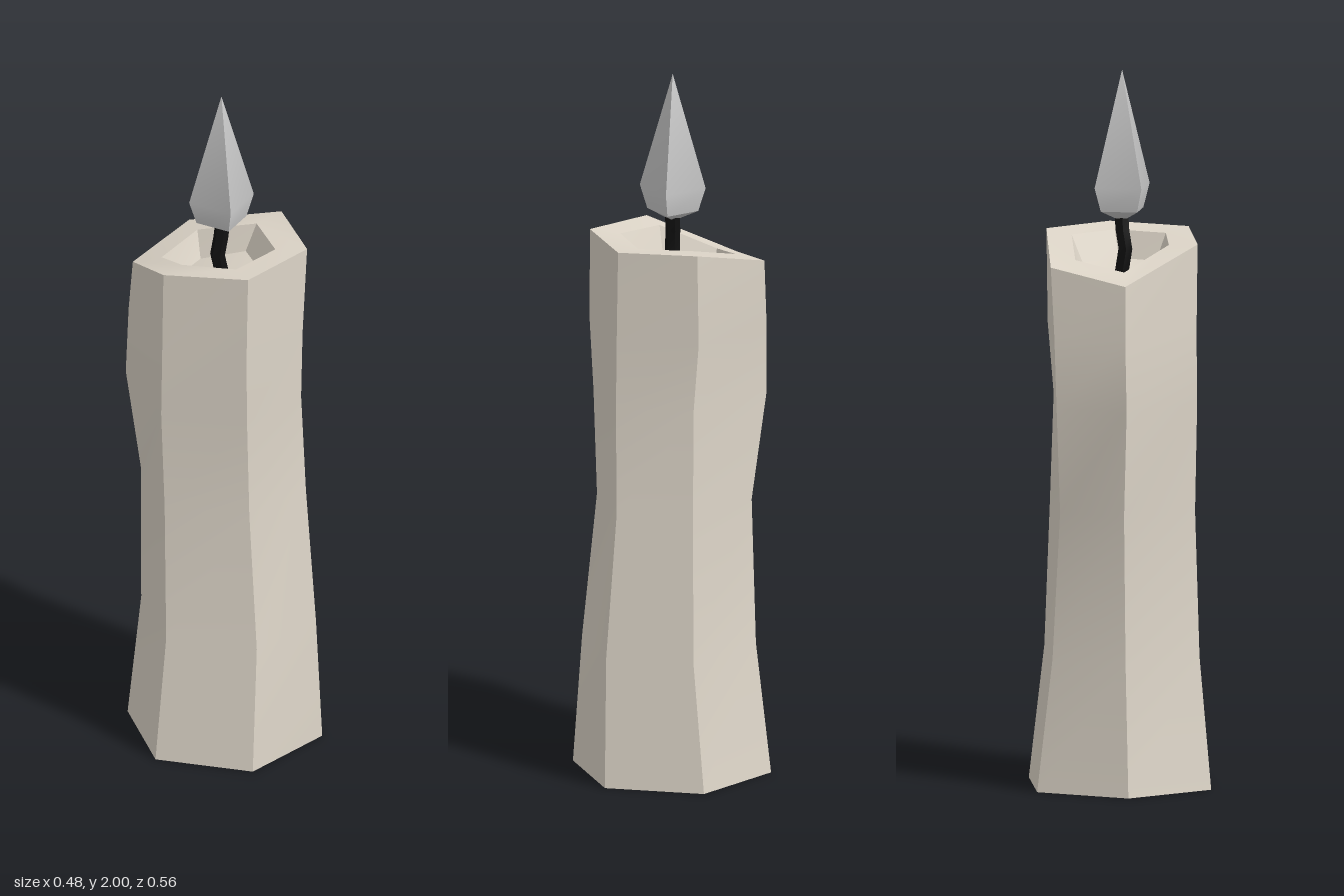
import * as THREE from 'three';
import { toCreasedNormals } from 'three/addons/utils/BufferGeometryUtils.js';

const CREASE = 0.7;

// Skins a stack of equal-sized rings of [x, y, z]; a ring may collapse to a point.
function skin(rings) {
  const pos = [];
  const same = (p, q) => p.every((v, k) => v === q[k]);
  const tri = (a, b, c) => {
    if (!same(a, b) && !same(b, c) && !same(a, c)) pos.push(...a, ...b, ...c);
  };
  for (let r = 0; r < rings.length - 1; r++) {
    const lo = rings[r], hi = rings[r + 1];
    for (let i = 0; i < lo.length; i++) {
      const j = (i + 1) % lo.length;
      tri(lo[i], lo[j], hi[j]);
      tri(lo[i], hi[j], hi[i]);
    }
  }
  const g = new THREE.BufferGeometry();
  g.setAttribute('position', new THREE.Float32BufferAttribute(pos, 3));
  return toCreasedNormals(g, CREASE);
}

function part(name, geometry, color) {
  const mesh = new THREE.Mesh(geometry, new THREE.MeshStandardMaterial({ color }));
  mesh.name = name;
  return mesh;
}

// Six corners per level, as [x, z]: front, right front, right back, back, left back, left front
const levels = [
  [0, [[0, 0.28], [0.24, 0.14], [0.24, -0.14], [0, -0.28], [-0.24, -0.14], [-0.24, 0.14]]],
  [0.37, [[0.02, 0.25], [0.222, 0.14], [0.215, -0.105], [-0.01, -0.235], [-0.205, -0.125], [-0.205, 0.125]]],
  [0.78, [[0.01, 0.21], [0.2, 0.115], [0.195, -0.1], [-0.025, -0.22], [-0.205, -0.13], [-0.205, 0.11]]],
  [1.08, [[0, 0.222], [0.185, 0.12], [0.18, -0.098], [-0.058, -0.255], [-0.243, -0.148], [-0.215, 0.11]]],
  [1.28, [[-0.005, 0.234], [0.19, 0.117], [0.186, -0.114], [-0.05, -0.257], [-0.235, -0.147], [-0.212, 0.11]]],
];

// Uneven rim, the sunken well inside it and the well floor
const rim = [[0, 1.54, 0.232], [0.205, 1.54, 0.11], [0.195, 1.54, -0.112],
  [-0.03, 1.47, -0.255], [-0.225, 1.43, -0.14], [-0.21, 1.525, 0.115]];
const lip = [[-0.01, 0.148], [0.125, 0.07], [0.115, -0.083], [-0.03, -0.172], [-0.155, -0.095], [-0.143, 0.065]];
const well = [[-0.01, 0.115], [0.09, 0.06], [0.08, -0.07], [-0.03, -0.14], [-0.13, -0.085], [-0.118, 0.05]];
const lipY = (i) => THREE.MathUtils.lerp(rim[i][1], 1.51, 0.35);

function waxGeometry() {
  const point = (x, y, z) => rim.map(() => [x, y, z]);
  return skin([
    point(0, 0, 0),
    ...levels.map(([y, ring]) => ring.map(([x, z]) => [x, y, z])),
    rim,
    lip.map(([x, z], i) => [x, lipY(i), z]),
    well.map(([x, z], i) => [x, lipY(i) - 0.075, z]),
    point(-0.02, 1.43, 0),
  ]);
}

export function createModel() {
  const group = new THREE.Group();
  group.name = 'candle';

  group.add(part('wax', waxGeometry(), 0xddd5c8));

  // Slightly crooked wick
  const wickPath = [[-0.005, 1.42, 0], [-0.022, 1.5, 0.003], [-0.012, 1.55, 0], [-0.005, 1.61, 0]];
  const wick = skin(wickPath.map(([x, y, z]) => Array.from({ length: 6 }, (_, i) => {
    const a = (i * Math.PI) / 3;
    return [x + 0.021 * Math.sin(a), y, z + 0.021 * Math.cos(a)];
  })));
  group.add(part('wick', wick, 0x111111));

  // Four-sided flame
  const profile = [[0, 1.585], [0.022, 1.585], [0.072, 1.608], [0.093, 1.675], [0, 2]];
  const flame = skin(profile.map(([r, y]) =>
    [[0, r], [r, 0], [0, -r], [-r, 0]].map(([x, z]) => [x - 0.01, y, z])));
  group.add(part('flame', flame, 0xcccccc));

  return group;
}
